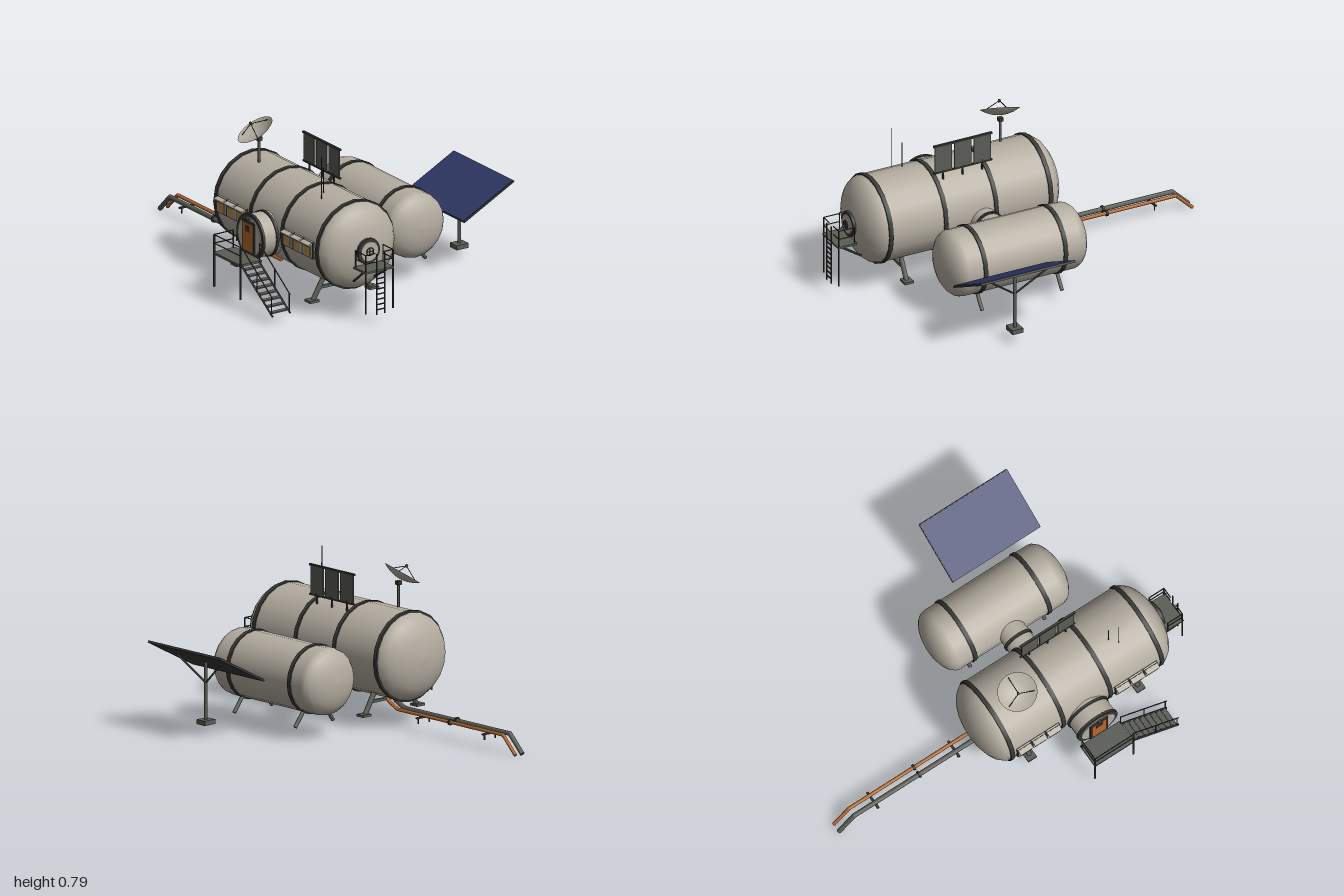
import * as THREE from 'three';

const mat = (name, color, side = THREE.FrontSide) => {
  const m = new THREE.MeshStandardMaterial({ color, side });
  m.name = name;
  return m;
};

export function createModel() {
  const hull = mat('hull', 0xb5aea2, THREE.DoubleSide);
  const steel = mat('steel', 0x5a5c56);
  const dark = mat('darkMetal', 0x373936);
  const orange = mat('orange', 0xb5692f);
  const navy = mat('solarBlue', 0x2f3866);
  const amber = mat('amberGlass', 0xb58a4e);
  const root = new THREE.Group();

  const group = (name, parent = root) => {
    const g = new THREE.Group();
    g.name = name;
    parent.add(g);
    return g;
  };
  const add = (parent, name, geo, material, pos = [0, 0, 0], rot = [0, 0, 0]) => {
    const m = new THREE.Mesh(geo, material);
    m.name = name;
    m.position.set(...pos);
    m.rotation.set(...rot);
    parent.add(m);
    return m;
  };
  const box = (parent, name, size, pos, material, rot) =>
    add(parent, name, new THREE.BoxGeometry(...size), material, pos, rot);
  // Straight bar between two points
  const bar = (parent, name, a, b, r, material, sides = 6) => {
    const p = new THREE.Vector3(...a), q = new THREE.Vector3(...b);
    const d = q.clone().sub(p);
    const m = add(parent, name, new THREE.CylinderGeometry(r, r, d.length(), sides), material);
    m.position.copy(p).add(q).multiplyScalar(0.5);
    m.quaternion.setFromUnitVectors(new THREE.Vector3(0, 1, 0), d.normalize());
    return m;
  };
  const X = [0, 0, Math.PI / 2], Z = [Math.PI / 2, 0, 0];

  // Tank lying along z, with elliptical ends and dark bands
  const tank = (name, x, y, r, z0, z1, cap, bands) => {
    const g = group(name);
    const pts = [];
    for (let i = 0; i <= 6; i++) {
      const a = (i / 6) * Math.PI / 2;
      pts.push(new THREE.Vector2(r * Math.sin(a), z0 + cap * (1 - Math.cos(a))));
    }
    for (let i = 6; i >= 0; i--) {
      const a = (i / 6) * Math.PI / 2;
      pts.push(new THREE.Vector2(r * Math.sin(a), z1 - cap * (1 - Math.cos(a))));
    }
    add(g, name + 'Shell', new THREE.LatheGeometry(pts, 20), hull, [x, y, 0], Z);
    for (const z of bands)
      add(g, 'band', new THREE.CylinderGeometry(r + 0.006, r + 0.006, 0.022, 20), dark, [x, y, z], Z);
    return g;
  };
  tank('mainTank', -0.277, 0.357, 0.224, -0.243, 0.873, 0.113, [-0.13, 0.172, 0.451, 0.755]);
  tank('sideTank', 0.217, 0.294, 0.17, -0.152, 0.632, 0.085, [0.017, 0.46]);

  // Passage joining the tanks
  const passage = group('passage');
  add(passage, 'passageTube', new THREE.CylinderGeometry(0.073, 0.073, 0.17, 20), hull, [0.005, 0.315, 0.24], X);
  add(passage, 'passageBand', new THREE.CylinderGeometry(0.08, 0.08, 0.015, 20), dark, [0, 0.315, 0.24], X);

  // Airlock with orange door
  const airlock = group('airlock');
  add(airlock, 'airlockTube', new THREE.CylinderGeometry(0.112, 0.112, 0.14, 24), hull, [-0.523, 0.327, 0.31], X);
  for (const x of [-0.589, -0.508])
    add(airlock, 'airlockBand', new THREE.CylinderGeometry(0.118, 0.118, 0.014, 24), dark, [x, 0.327, 0.31], X);
  add(airlock, 'airlockEnd', new THREE.CylinderGeometry(0.1, 0.1, 0.01, 24), hull, [-0.596, 0.327, 0.31], X);
  box(airlock, 'doorFrame', [0.012, 0.165, 0.105], [-0.602, 0.327, 0.31], dark);
  box(airlock, 'door', [0.009, 0.145, 0.085], [-0.606, 0.327, 0.31], orange);
  box(airlock, 'doorWindow', [0.006, 0.03, 0.04], [-0.609, 0.37, 0.31], dark);
  box(airlock, 'doorLamp', [0.025, 0.01, 0.02], [-0.61, 0.42, 0.31], dark);

  // Two rows of hooded windows
  const windows = group('windows');
  for (const zc of [0.02, 0.6]) {
    box(windows, 'windowStrip', [0.02, 0.085, 0.25], [-0.497, 0.357, zc], dark);
    for (const dz of [-0.085, 0, 0.085]) {
      box(windows, 'windowFrame', [0.02, 0.07, 0.074], [-0.503, 0.355, zc + dz], hull);
      box(windows, 'windowPane', [0.006, 0.045, 0.054], [-0.512, 0.35, zc + dz], amber);
      box(windows, 'windowHood', [0.036, 0.008, 0.074], [-0.514, 0.392, zc + dz], hull, [0, 0, 0.3]);
    }
  }

  // Front hatch with hand wheel
  const hatch = group('hatch');
  add(hatch, 'hatchRim', new THREE.CylinderGeometry(0.065, 0.065, 0.04, 20), dark, [-0.277, 0.357, 0.863], Z);
  add(hatch, 'hatchLid', new THREE.CylinderGeometry(0.05, 0.05, 0.01, 20), hull, [-0.277, 0.357, 0.883], Z);
  add(hatch, 'handWheel', new THREE.TorusGeometry(0.02, 0.003, 6, 16), dark, [-0.277, 0.357, 0.893]);
  for (const a of [0, Math.PI / 2])
    box(hatch, 'wheelSpoke', [0.04, 0.004, 0.004], [-0.277, 0.357, 0.892], dark, [0, 0, a]);

  // Legs
  const legs = group('legs');
  for (const z of [0, 0.645]) {
    for (const s of [-1, 1]) {
      bar(legs, 'mainLeg', [-0.277 + s * 0.1, 0.19, z], [-0.277 + s * 0.172, 0.065, z], 0.013, steel, 8);
      box(legs, 'mainFoot', [0.055, 0.012, 0.05], [-0.277 + s * 0.178, 0.064, z], steel);
    }
    box(legs, 'crossBeam', [0.27, 0.014, 0.016], [-0.277, 0.125, z], steel);
  }
  for (const z of [0.017, 0.46])
    for (const s of [-1, 1])
      bar(legs, 'sideLeg', [0.22 + s * 0.065, 0.15, z], [0.22 + s * 0.127, 0.068, z], 0.01, steel, 8);

  // Side deck with railings and stairs
  const deck = group('sideDeck');
  const dx0 = -0.733, dx1 = -0.612, dz0 = 0.2, dz1 = 0.428;
  box(deck, 'deckPlate', [0.13, 0.012, 0.234], [-0.672, 0.236, 0.314], steel);
  for (const z of [dz0, dz1]) {
    bar(deck, 'deckPost', [dx0, 0.06, z], [dx0, 0.333, z], 0.005, dark);
    bar(deck, 'railPost', [dx1 - 0.008, 0.236, z], [dx1 - 0.008, 0.333, z], 0.003, dark);
  }
  for (const y of [0.288, 0.333]) {
    bar(deck, 'outerRail', [dx0, y, dz0], [dx0, y, dz1], 0.003, dark);
    bar(deck, 'backRail', [dx0, y, dz0], [dx1 - 0.008, y, dz0], 0.003, dark);
  }
  const stairs = group('stairs', deck);
  for (const x of [-0.727, -0.622]) {
    bar(stairs, 'stringer', [x, 0.236, 0.43], [x, 0.05, 0.7], 0.006, dark, 4);
    bar(stairs, 'stairRail', [x, 0.333, 0.43], [x, 0.145, 0.7], 0.003, dark);
    for (const t of [0.5, 0.97])
      bar(stairs, 'stairRailPost', [x, 0.236 - 0.186 * t, 0.43 + 0.27 * t],
        [x, 0.333 - 0.188 * t, 0.43 + 0.27 * t], 0.003, dark);
  }
  for (let i = 0; i < 8; i++)
    box(stairs, 'step', [0.1, 0.006, 0.026], [-0.674, 0.222 - i * 0.0225, 0.451 + i * 0.0325], steel);

  // Front deck with ladder
  const porch = group('frontDeck');
  box(porch, 'frontDeckPlate', [0.17, 0.01, 0.105], [-0.277, 0.284, 0.925], steel);
  for (const s of [-1, 1]) {
    const x = -0.277 + s * 0.081;
    bar(porch, 'frontDeckPost', [x, 0.07, 0.972], [x, 0.377, 0.972], 0.004, dark);
    bar(porch, 'frontDeckBackPost', [x, 0.284, 0.885], [x, 0.377, 0.885], 0.003, dark);
    bar(porch, 'deckBrace', [x, 0.28, 0.95], [x - s * 0.02, 0.2, 0.84], 0.006, dark);
    for (const y of [0.332, 0.377]) {
      bar(porch, 'frontSideRail', [x, y, 0.885], [x, y, 0.972], 0.003, dark);
      bar(porch, 'frontRail', [x, y, 0.972], [-0.277 + s * 0.023, y, 0.972], 0.003, dark);
    }
    bar(porch, 'ladderRail', [-0.277 + s * 0.023, 0.06, 0.984], [-0.277 + s * 0.023, 0.377, 0.984], 0.004, dark);
  }
  for (let i = 0; i < 8; i++)
    box(porch, 'rung', [0.046, 0.005, 0.006], [-0.277, 0.085 + i * 0.027, 0.984], dark);

  // Solar panel on its post
  const solar = group('solarPanel');
  const tilt = Math.atan2(0.155, 0.296);
  const panel = group('panel', solar);
  panel.position.set(0.584, 0.374, 0.405);
  panel.rotation.z = tilt;
  box(panel, 'panelBack', [0.336, 0.01, 0.522], [0, 0, 0], dark);
  box(panel, 'panelFace', [0.33, 0.004, 0.516], [0, 0.005, 0], navy);
  bar(solar, 'panelPost', [0.586, 0.07, 0.405], [0.586, 0.37, 0.405], 0.009, steel, 8);
  box(solar, 'panelBase', [0.07, 0.024, 0.06], [0.586, 0.069, 0.405], steel);
  for (const s of [-1, 1])
    bar(solar, 'panelBrace', [0.586, 0.265, 0.405], [0.632, 0.392, 0.405 + s * 0.16], 0.005, dark);

  // Radiator on the roof
  const radiator = group('radiator');
  for (const dz of [-0.108, 0, 0.108]) {
    box(radiator, 'radiatorPanel', [0.007, 0.145, 0.093], [-0.163, 0.662, 0.303 + dz], steel);
    bar(radiator, 'radiatorPost', [-0.163, 0.53, 0.303 + dz], [-0.163, 0.6, 0.303 + dz], 0.005, dark);
  }
  box(radiator, 'radiatorTop', [0.012, 0.01, 0.325], [-0.163, 0.737, 0.303], dark);
  box(radiator, 'radiatorBottom', [0.01, 0.008, 0.325], [-0.163, 0.588, 0.303], dark);

  // Dish on its mast
  const dish = group('dish');
  bar(dish, 'dishMast', [-0.333, 0.56, 0.005], [-0.333, 0.705, 0.005], 0.007, steel, 8);
  box(dish, 'dishMount', [0.024, 0.02, 0.024], [-0.333, 0.695, 0.005], dark);
  const bowl = group('bowl', dish);
  bowl.position.set(-0.336, 0.715, 0.003);
  bowl.quaternion.setFromUnitVectors(new THREE.Vector3(0, 1, 0), new THREE.Vector3(-0.5, 0.84, -0.18).normalize());
  const curve = [];
  for (let i = 0; i <= 6; i++) curve.push(new THREE.Vector2(0.1 * i / 6, 0.032 * (i / 6) ** 2));
  add(bowl, 'reflector', new THREE.LatheGeometry(curve, 24), hull);
  for (let i = 0; i < 3; i++) {
    const a = i * Math.PI * 2 / 3;
    bar(bowl, 'feedStrut', [0.085 * Math.cos(a), 0.024, 0.085 * Math.sin(a)], [0, 0.072, 0], 0.002, dark);
  }
  add(bowl, 'feedHorn', new THREE.CylinderGeometry(0.007, 0.007, 0.016, 8), dark, [0, 0.072, 0]);

  // Whip antennas
  const antennas = group('antennas');
  bar(antennas, 'tallAntenna', [-0.362, 0.55, 0.592], [-0.362, 0.778, 0.592], 0.0025, dark);
  bar(antennas, 'shortAntenna', [-0.325, 0.56, 0.555], [-0.325, 0.705, 0.555], 0.0025, dark);

  // Pipeline running out behind
  const pipes = group('pipeline');
  const run = [[0.2, -0.02], [0.13, -0.07], [0.1, -0.135], [0.1, -0.9], [0.012, -0.99]];
  for (const [name, x, r, m] of [['greyPipe', -0.245, 0.012, steel], ['orangePipe', -0.2, 0.009, orange]]) {
    for (let i = 0; i < run.length - 1; i++) {
      bar(pipes, name, [x, ...run[i]], [x, ...run[i + 1]], r, m, 10);
      if (i) add(pipes, name + 'Elbow', new THREE.SphereGeometry(r, 10, 8), m, [x, ...run[i]]);
    }
    add(pipes, 'flange', new THREE.CylinderGeometry(r + 0.007, r + 0.007, 0.01, 12), dark, [x, 0.1, -0.515], Z);
  }
  for (const z of [-0.295, -0.775]) {
    box(pipes, 'pipeSupport', [0.1, 0.008, 0.012], [-0.226, 0.085, z], dark);
    for (const x of [-0.262, -0.19]) bar(pipes, 'supportLeg', [x, 0.055, z], [x, 0.085, z], 0.004, dark);
  }
  bar(pipes, 'hullPipe', [-0.402, 0.163, -0.08], [-0.402, 0.163, 0.3], 0.009, orange, 10);

  return root;
}
